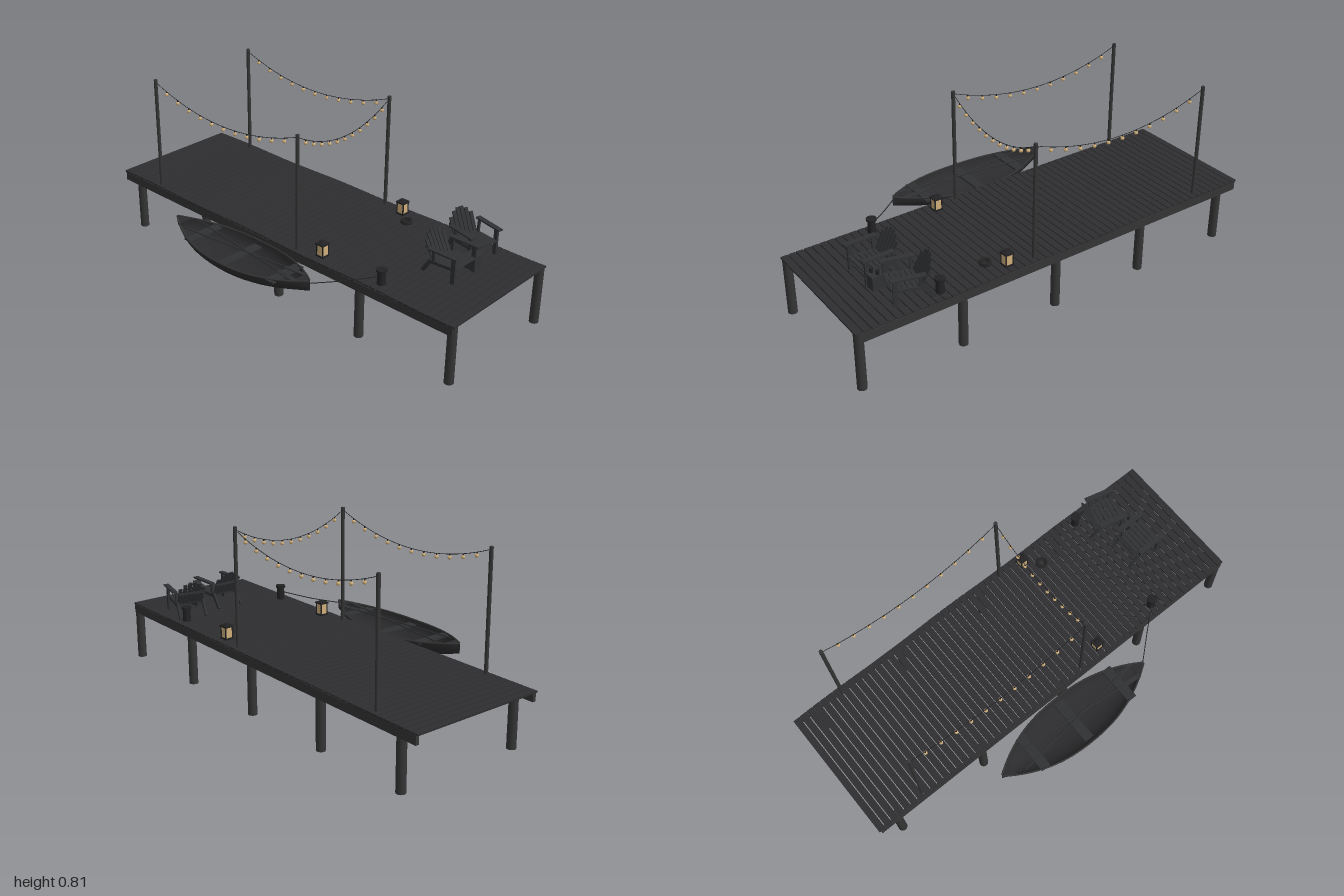
import * as THREE from 'three';

const mat = (name, color, side = THREE.FrontSide) => {
  const m = new THREE.MeshStandardMaterial({ color, side });
  m.name = name;
  return m;
};
const V = (x, y, z) => new THREE.Vector3(x, y, z);

export function createModel() {
  const root = new THREE.Group();
  root.name = 'dock';
  const plankWood = mat('plankWood', 0x2e2e30);
  const timber = mat('timber', 0x353536);
  const chairWood = mat('chairWood', 0x2f3133);
  const hullPaint = mat('hullPaint', 0x2b2b2d, THREE.DoubleSide);
  const metal = mat('darkMetal', 0x222224);
  const rope = mat('rope', 0x252525);
  const glow = mat('warmGlass', 0xcfae7a);

  const add = (parent, name, geo, material, x = 0, y = 0, z = 0) => {
    const m = new THREE.Mesh(geo, material);
    m.name = name;
    m.position.set(x, y, z);
    parent.add(m);
    return m;
  };
  const group = (name, x = 0, y = 0, z = 0, ry = 0) => {
    const g = new THREE.Group();
    g.name = name;
    g.position.set(x, y, z);
    g.rotation.y = ry;
    root.add(g);
    return g;
  };
  const box = (w, h, d) => new THREE.BoxGeometry(w, h, d);
  const cyl = (r1, r2, h, n = 12) => new THREE.CylinderGeometry(r1, r2, h, n);
  // Stretches a y-aligned geometry's mesh between two points
  const between = (parent, name, a, b, geoOf, material) => {
    const d = b.clone().sub(a);
    const m = add(parent, name, geoOf(d.length()), material);
    m.position.copy(a).lerp(b, 0.5);
    m.quaternion.setFromUnitVectors(V(0, 1, 0), d.normalize());
    return m;
  };

  const midX = 0.134, deckY = 0.275;

  // Deck planks, slightly uneven
  const planks = group('deckPlanks');
  const count = 56, pitch = 2 / count;
  for (let i = 0; i < count; i++) {
    const wobble = Math.sin(i * 12.9) * 0.001;
    add(planks, 'plank', box(0.638, 0.008, pitch - 0.004), plankWood,
      midX + wobble * 2, deckY - 0.005 + wobble, -1 + pitch * (i + 0.5));
  }

  // Side beams and round piles
  for (const s of [-1, 1]) {
    add(root, 'sideBeam', box(0.016, 0.04, 1.98), timber, midX + s * 0.312, 0.247, 0);
    for (let i = 0; i < 5; i++)
      add(root, 'pile', cyl(0.02, 0.0205, 0.266, 16), timber, midX + s * 0.3, 0.133, 0.979 - i * 0.469);
  }

  // Light posts
  const postX = [-0.16, 0.425], postZ = [0.15, -0.75];
  for (const x of postX) for (const z of postZ)
    add(root, 'lightPost', cyl(0.0085, 0.0085, 0.535, 10), timber, x, 0.5375, z);

  // Sagging strings of bulbs round three sides
  const stringLights = (x1, z1, x2, z2) => {
    const g = group('stringLights');
    const at = t => V(x1 + (x2 - x1) * t, 0.793 - 0.35 * t * (1 - t), z1 + (z2 - z1) * t);
    const pts = [];
    for (let i = 0; i <= 16; i++) pts.push(at(i / 16));
    add(g, 'wire', new THREE.TubeGeometry(new THREE.CatmullRomCurve3(pts), 40, 0.0014, 5), metal);
    for (let i = 1; i < 12; i++) {
      const p = at(i / 12);
      add(g, 'socket', cyl(0.003, 0.003, 0.009, 6), metal, p.x, p.y - 0.004, p.z);
      add(g, 'bulb', new THREE.SphereGeometry(0.0085, 12, 8), glow, p.x, p.y - 0.014, p.z);
    }
  };
  stringLights(postX[0], postZ[0], postX[1], postZ[0]);
  for (const x of postX) stringLights(x, postZ[0], x, postZ[1]);

  // Rowing boat: hull lofted from half-ellipse sections
  const boat = group('rowingBoat', -0.327, 0, -0.03);
  const L = 0.41, N = 28, M = 14;
  const halfWidth = t => 0.125 * (1 - Math.abs(t) ** 2.3) + 0.002;
  const sheer = t => 0.255 + 0.025 * t * t;
  const keel = t => 0.17 + 0.065 * t * t;
  const pos = [], idx = [];
  for (let i = 0; i <= N; i++) {
    const t = -1 + (2 * i) / N;
    for (let j = 0; j <= M; j++) {
      const a = (Math.PI * j) / M;
      pos.push(halfWidth(t) * Math.cos(a), sheer(t) - (sheer(t) - keel(t)) * Math.sin(a), t * L);
      if (i < N && j < M) {
        const k = i * (M + 1) + j;
        idx.push(k, k + M + 1, k + 1, k + 1, k + M + 1, k + M + 2);
      }
    }
  }
  const hull = new THREE.BufferGeometry();
  hull.setAttribute('position', new THREE.Float32BufferAttribute(pos, 3));
  hull.setIndex(idx);
  hull.computeVertexNormals();
  add(boat, 'hull', hull, hullPaint);
  for (const s of [-1, 1]) {
    const rim = [];
    for (let i = 0; i <= 20; i++) {
      const t = -1 + i / 10;
      rim.push(V(s * halfWidth(t), sheer(t), t * L));
    }
    add(boat, 'gunwale', new THREE.TubeGeometry(new THREE.CatmullRomCurve3(rim), 40, 0.004, 6), timber);
    // Small end decks
    const tip = new THREE.Shape([[0, 0.41], [0.018, 0.39], [0.042, 0.352], [-0.042, 0.352], [-0.018, 0.39]]
      .map(p => new THREE.Vector2(p[0], p[1])));
    const cap = add(boat, 'endDeck', new THREE.ExtrudeGeometry(tip, { depth: 0.004, bevelEnabled: false }), hullPaint, 0, 0.276, 0);
    cap.rotation.set(Math.PI / 2, 0, s > 0 ? 0 : Math.PI);
    // Crossed oars
    const a = V(s * 0.042, 0.272, -0.31), b = V(-s * 0.026, 0.274, 0.3);
    between(boat, 'oarShaft', a, b, l => cyl(0.0035, 0.0035, l, 8), chairWood);
    const dir = b.clone().sub(a).normalize();
    between(boat, 'oarBlade', b.clone().addScaledVector(dir, -0.05), b.clone().addScaledVector(dir, 0.06),
      l => box(0.02, l, 0.004), chairWood);
  }
  for (const z of [-0.235, 0, 0.265])
    add(boat, 'thwart', box(z ? 0.182 : 0.215, 0.008, 0.045), chairWood, 0, z ? 0.256 : 0.24, z);

  // Mooring bollards with caps
  for (const x of [-0.134, 0.405]) {
    const g = group('bollard', x, deckY, 0.595);
    add(g, 'bollardPost', cyl(0.017, 0.019, 0.06, 14), metal, 0, 0.03, 0);
    add(g, 'bollardCap', cyl(0.023, 0.023, 0.01, 14), metal, 0, 0.063, 0);
  }

  // Mooring line and coiled rope
  const line = new THREE.CatmullRomCurve3([V(-0.327, 0.268, 0.375), V(-0.235, 0.284, 0.48), V(-0.145, 0.309, 0.585)]);
  add(root, 'mooringLine', new THREE.TubeGeometry(line, 12, 0.0022, 6), rope);
  const coil = group('ropeCoil', 0.346, deckY, 0.34);
  [[0.024, 0.004], [0.017, 0.004], [0.022, 0.011]].forEach(([r, y]) => {
    add(coil, 'ropeLoop', new THREE.TorusGeometry(r, 0.005, 6, 20), rope, 0, y, 0).rotation.x = Math.PI / 2;
  });

  // Lanterns with warm panes
  for (const x of [-0.132, 0.402]) {
    const g = group('lantern', x, deckY, 0.27);
    add(g, 'lanternBase', box(0.042, 0.007, 0.042), metal, 0, 0.0035, 0);
    add(g, 'lanternGlass', box(0.034, 0.048, 0.034), glow, 0, 0.031, 0);
    add(g, 'lanternLid', box(0.044, 0.007, 0.044), metal, 0, 0.0585, 0);
    add(g, 'lanternTop', cyl(0.009, 0.02, 0.009, 4), metal, 0, 0.066, 0).rotation.y = Math.PI / 4;
    for (const sx of [-1, 1]) for (const sz of [-1, 1])
      add(g, 'lanternCorner', box(0.005, 0.05, 0.005), metal, sx * 0.017, 0.031, sz * 0.017);
  }

  // Slatted deck chairs
  const chair = (x, z, ry) => {
    const g = group('deckChair', x, deckY, z, ry);
    for (const s of [-1, 1]) {
      add(g, 'frontLeg', box(0.01, 0.118, 0.02), chairWood, s * 0.07, 0.059, 0.07);
      add(g, 'armrest', box(0.024, 0.007, 0.145), chairWood, s * 0.073, 0.12, 0.018);
      between(g, 'rearLeg', V(s * 0.062, 0.066, -0.045), V(s * 0.062, 0, -0.09), l => box(0.01, l, 0.016), chairWood);
      between(g, 'armSupport', V(s * 0.066, 0.118, -0.035), V(s * 0.062, 0.06, -0.035), l => box(0.008, l, 0.012), chairWood);
      between(g, 'seatRail', V(s * 0.062, 0.062, 0.075), V(s * 0.062, 0.054, -0.055), l => box(0.01, l, 0.012), chairWood);
    }
    for (let i = 0; i < 6; i++)
      add(g, 'seatSlat', box(0.134, 0.005, 0.018), chairWood, 0, 0.067 - i * 0.0012, 0.073 - i * 0.022);
    for (let i = 0; i < 6; i++) {
      const k = i - 2.5, top = 0.172 - 0.005 * k * k;
      const lean = y => -0.04 - (y - 0.056) * 0.5;
      between(g, 'backSlat', V(k * 0.0205, 0.056, lean(0.056)), V(k * 0.0215, top, lean(top)),
        l => box(0.0175, l, 0.006), chairWood);
    }
    add(g, 'backBrace', box(0.13, 0.01, 0.006), chairWood, 0, 0.115, -0.077);
  };
  chair(0.132, 0.735, 0);
  chair(0.335, 0.7, -0.25);

  // Crate table with two mugs
  const table = group('sideTable', 0.228, deckY, 0.785);
  add(table, 'tableBody', box(0.05, 0.06, 0.05), chairWood, 0, 0.03, 0);
  add(table, 'tableTop', box(0.056, 0.006, 0.056), chairWood, 0, 0.063, 0);
  for (const [x, z] of [[-0.013, 0.008], [0.013, -0.006]]) {
    add(table, 'mug', cyl(0.008, 0.007, 0.019, 12), metal, x, 0.0755, z);
    add(table, 'mugHandle', new THREE.TorusGeometry(0.005, 0.0014, 6, 12), metal, x + 0.009, 0.0755, z);
  }
  return root;
}
